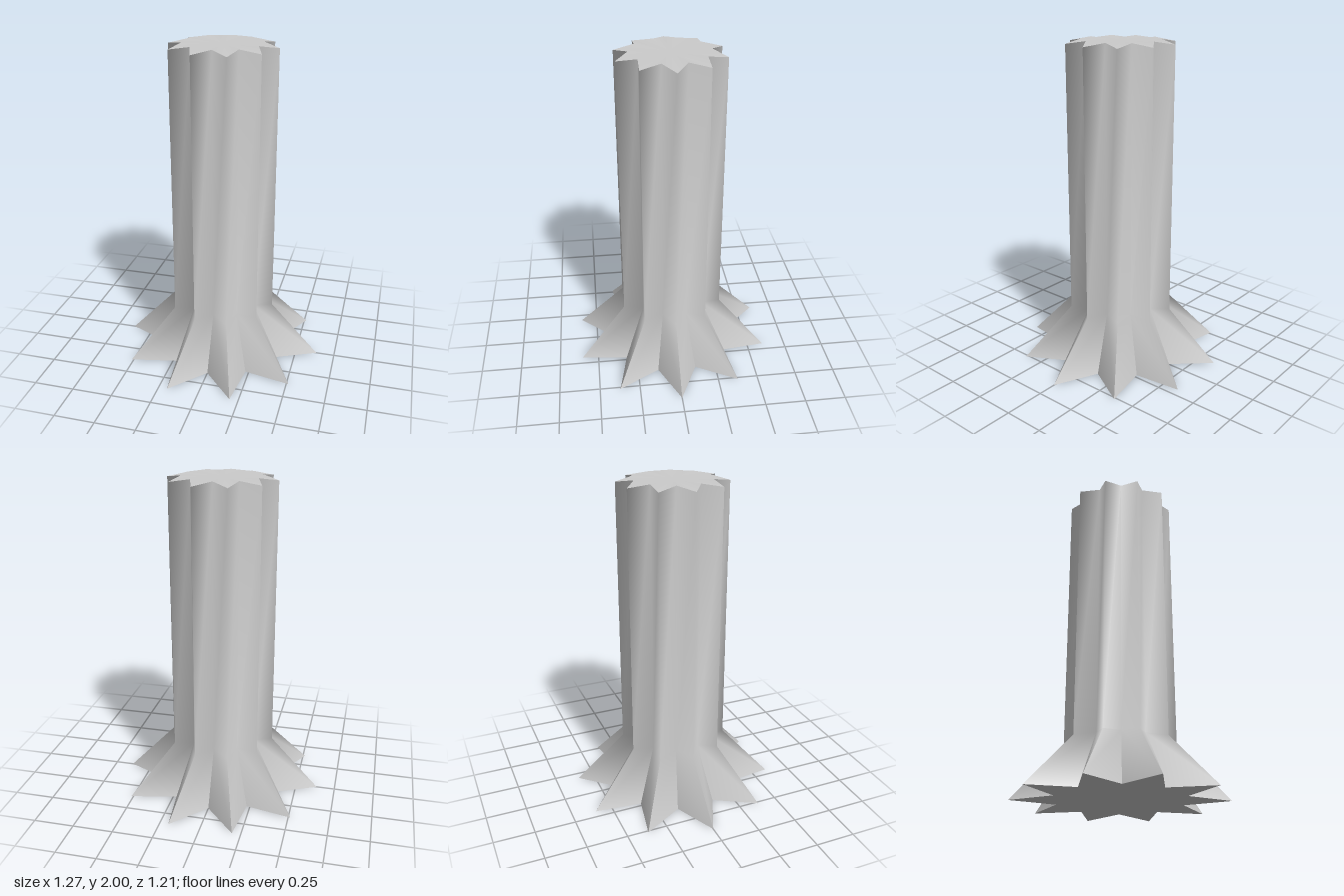
import * as THREE from 'three';

const POINTS = 10;
const N = POINTS * 2;

// Corner i of a star ring: even corners are tips, odd corners are valleys
function corner(ring, i) {
  const k = i % N;
  const a = (k / N) * Math.PI * 2;
  const [r, y] = k % 2 === 0 ? ring.tip : ring.valley;
  return [Math.cos(a) * r, y, Math.sin(a) * r];
}

function makeMesh(name, positions, index) {
  const geometry = new THREE.BufferGeometry();
  geometry.setAttribute('position', new THREE.Float32BufferAttribute(positions, 3));
  geometry.setIndex(index);
  geometry.computeVertexNormals();
  const mesh = new THREE.Mesh(geometry, new THREE.MeshStandardMaterial({ color: 0xcccccc }));
  mesh.name = name;
  return mesh;
}

// Fluted wall: the two upper rings are smooth, the foot is split into crisp facets
function makeWall(foot, neck, top) {
  const positions = [];
  const index = [];
  for (const ring of [neck, top]) {
    for (let i = 0; i < N; i++) positions.push(...corner(ring, i));
  }
  for (let i = 0; i < N; i++) positions.push(...corner(foot, i), ...corner(foot, i + 1));

  for (let i = 0; i < N; i++) {
    const j = (i + 1) % N;
    // shaft panel
    index.push(i, N + i, j, j, N + i, N + j);
    // flared panel, split from the foot tip to the neck valley
    const f0 = 2 * N + 2 * i;
    const f1 = f0 + 1;
    if (i % 2 === 0) index.push(f0, i, j, f0, j, f1);
    else index.push(f0, i, f1, f1, i, j);
  }
  return makeMesh('flutedColumn', positions, index);
}

// Star-shaped cap fanned from its centre
function makeCap(name, ring, centreY, up) {
  const positions = [0, centreY, 0];
  const index = [];
  for (let i = 0; i < N; i++) {
    positions.push(...corner(ring, i));
    const a = 1 + i;
    const b = 1 + ((i + 1) % N);
    index.push(0, up ? b : a, up ? a : b);
  }
  return makeMesh(name, positions, index);
}

export function createModel() {
  // [radius, height] of the tips and valleys of each ring
  const foot = { tip: [0.635, 0], valley: [0.39, 0] };
  const neck = { tip: [0.33, 0.325], valley: [0.237, 0.34] };
  const top = { tip: [0.33, 1.98], valley: [0.237, 2] };

  const group = new THREE.Group();
  group.name = 'starColumn';
  group.add(
    makeWall(foot, neck, top),
    makeCap('topCap', top, 1.99, true),
    makeCap('footBase', foot, 0, false)
  );
  return group;
}
